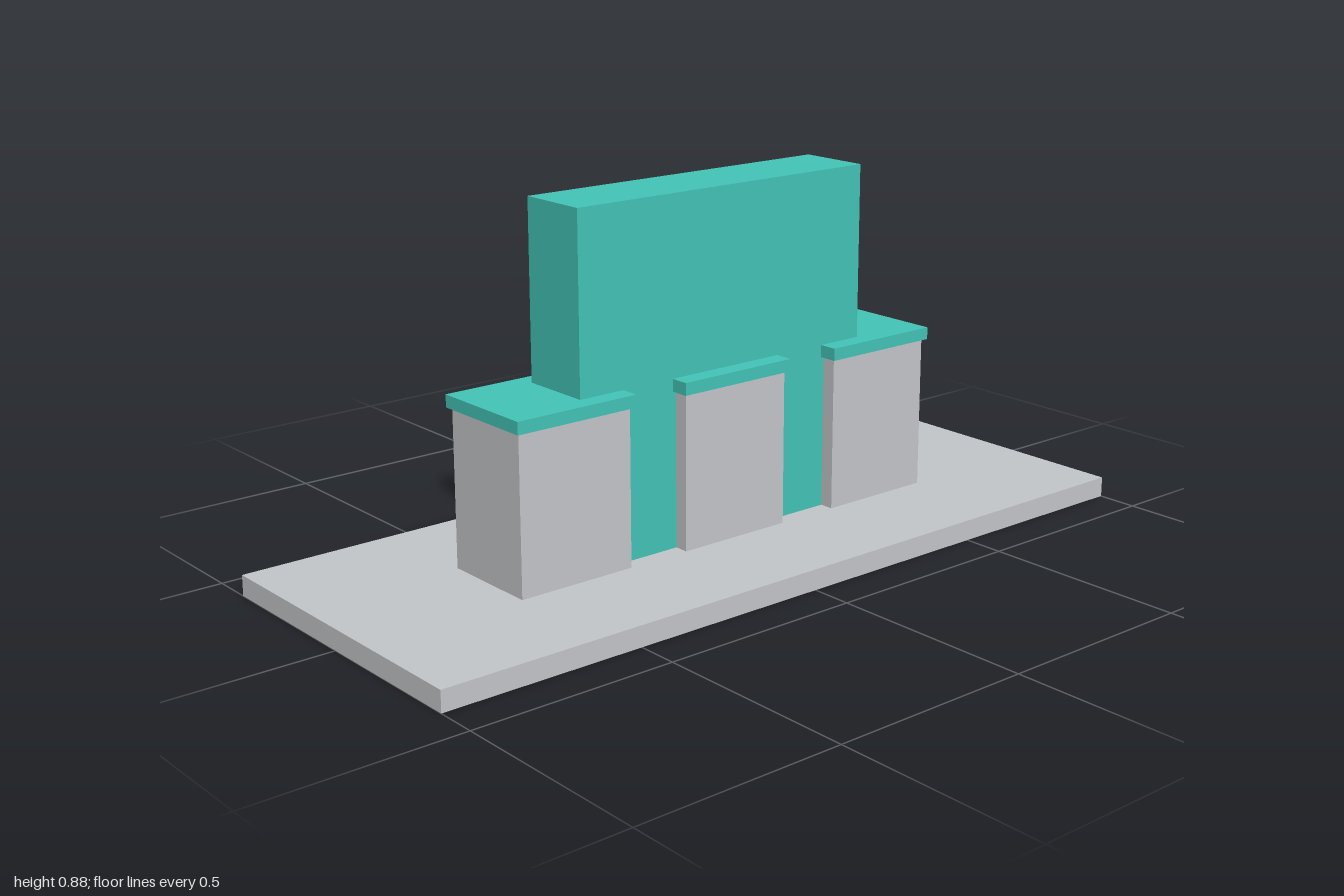
import * as THREE from 'three';

const stone = new THREE.MeshStandardMaterial({ color: 0xc1c4c8 });
stone.name = 'pale grey';
const teal = new THREE.MeshStandardMaterial({ color: 0x42c2b5 });
teal.name = 'teal';

// Box centred on x and z, spanning bottom to top in y
function block(name, width, bottom, top, depth, material, x = 0) {
  const mesh = new THREE.Mesh(new THREE.BoxGeometry(width, top - bottom, depth), material);
  mesh.name = name;
  mesh.position.set(x, (bottom + top) / 2, 0);
  return mesh;
}

export function createModel() {
  const model = new THREE.Group();
  model.name = 'wallWithPiers';

  // Ground slab and the wall set into it
  model.add(block('baseSlab', 2, 0, 0.05, 0.8, stone));
  model.add(block('wall', 0.84, 0.01, 0.88, 0.18, teal));

  // Three piers, each with an overhanging cap
  const names = ['right', 'middle', 'left'];
  [-0.46, 0, 0.46].forEach((x, i) => {
    const pier = new THREE.Group();
    pier.name = `${names[i]}Pier`;
    pier.add(block('pierBody', 0.3, 0.05, 0.426, 0.25, stone, x));
    pier.add(block('pierCap', 0.318, 0.426, 0.456, 0.272, teal, x));
    model.add(pier);
  });
  return model;
}
